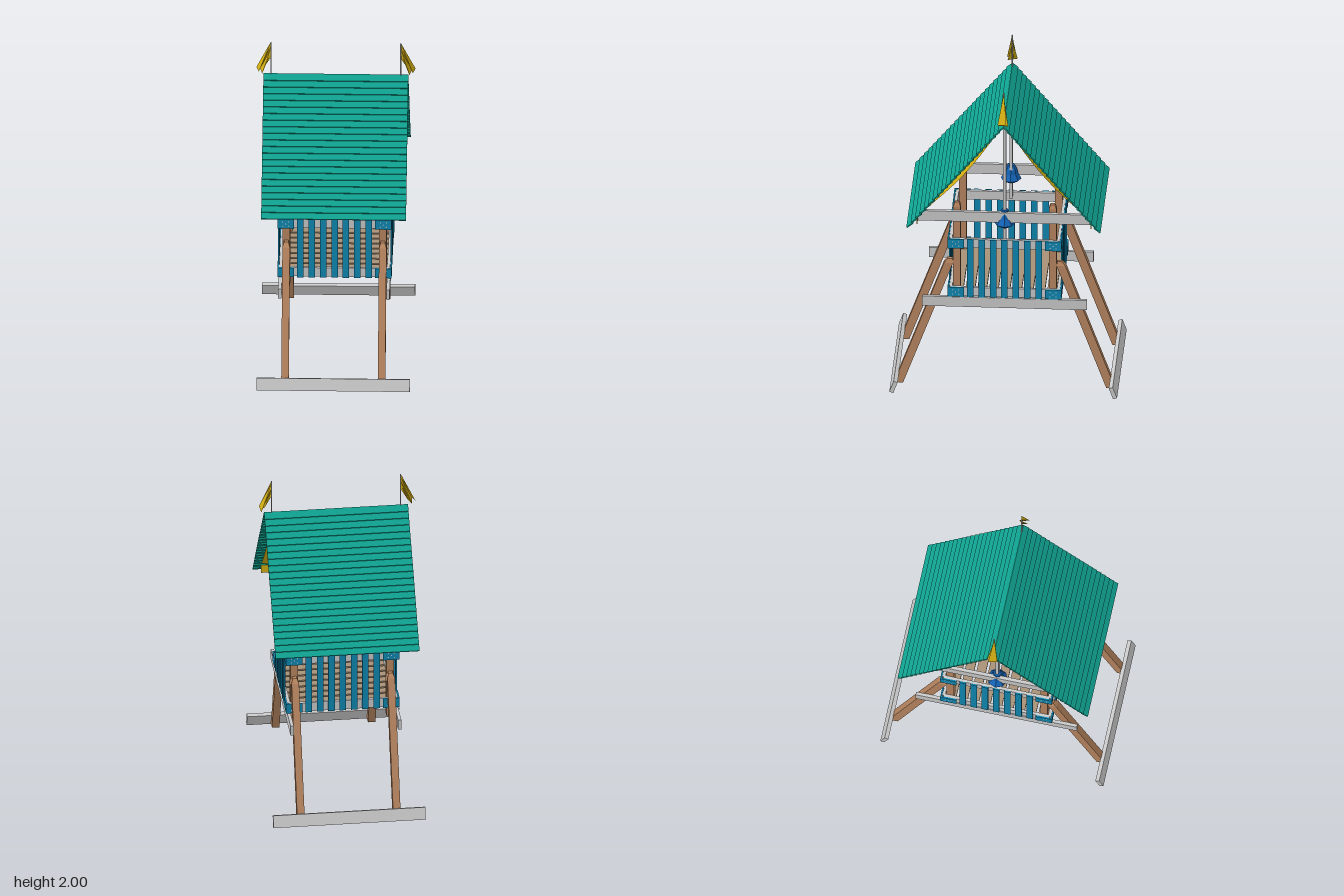
import * as THREE from 'three';
import { mergeGeometries } from 'three/addons/utils/BufferGeometryUtils.js';

const mat = (name, color, side = THREE.FrontSide) => {
  const m = new THREE.MeshStandardMaterial({ color, side });
  m.name = name;
  return m;
};

export function createModel() {
  const root = new THREE.Group();
  root.name = 'playTower';
  const teal = mat('teal', 0x0fa18f, THREE.DoubleSide);
  const grey = mat('light grey', 0xcacaca);
  const wood = mat('brown wood', 0xb88660);
  const floorWood = mat('floor wood', 0xa89278);
  const blue = mat('slat blue', 0x0f88b2);
  const lampBlue = mat('lamp blue', 0x1464b8);
  const gold = mat('gold', 0xd4ae12, THREE.DoubleSide);
  const red = mat('red', 0xc0182c, THREE.DoubleSide);

  const add = (parent, name, geo, material, x = 0, y = 0, z = 0) => {
    const m = new THREE.Mesh(geo, material);
    m.name = name;
    m.position.set(x, y, z);
    parent.add(m);
    return m;
  };
  const box = (parent, name, material, w, h, d, x, y, z) =>
    add(parent, name, new THREE.BoxGeometry(w, h, d), material, x, y, z);

  // square timber standing on its origin, with a chamfered top
  const timber = (w, d, h) => {
    const tip = 0.025;
    const body = new THREE.BoxGeometry(w, h - tip, d).translate(0, (h - tip) / 2, 0);
    const cap = new THREE.CylinderGeometry(0.4, Math.SQRT1_2, tip, 4, 1).toNonIndexed();
    cap.rotateY(Math.PI / 4).scale(w, 1, d).translate(0, h - tip / 2, 0);
    cap.computeVertexNormals();
    return mergeGeometries([body.toNonIndexed(), cap]);
  };

  // corner posts, splayed legs
  for (const sx of [-1, 1]) for (const sz of [-1, 1]) {
    add(root, 'cornerPost', timber(0.045, 0.045, 0.685), wood, sx * 0.29, 0.53, sz * 0.288);
    const leg = timber(0.045, 0.054, 0.835);
    const shear = new THREE.Matrix4().set(1, 0, 0, 0, 0, 1, 0, 0, 0, -sz * 0.37, 1, 0, 0, 0, 0, 1);
    leg.applyMatrix4(shear);
    leg.computeVertexNormals();
    add(root, 'splayedLeg', leg, wood, sx * 0.29, 0, sz * 0.638);
  }

  // ground beams, leaning with the legs
  for (const s of [-1, 1]) {
    const b = box(root, 'groundBeam', grey, 0.92, 0.075, 0.025, 0, 0.04, s * 0.66);
    b.rotation.x = -s * 0.355;
  }

  // platform and roof beams, gable posts and lamps
  for (const s of [-1, 1]) {
    box(root, 'platformBeam', grey, 0.02, 0.065, 0.99, s * 0.325, 0.563, 0);
    box(root, 'roofBeam', grey, 0.022, 0.066, 1.0, s * 0.323, 1.135, 0);
    box(root, 'eaveBeam', grey, 0.668, 0.066, 0.02, 0, 1.135, s * 0.51);
    box(root, 'gablePost', grey, 0.042, 0.82, 0.018, s * 0.29, 1.37, 0);
    const lamp = new THREE.LatheGeometry(
      [[0, 1.06], [0.028, 1.062], [0.062, 1.085], [0.042, 1.12], [0.036, 1.15], [0.022, 1.175], [0, 1.178]]
        .map(([x, y]) => new THREE.Vector2(x, y)), 8).toNonIndexed();
    lamp.computeVertexNormals();
    add(root, 'lamp', lamp, lampBlue, s * 0.302, 0, 0);
  }

  // floor slats
  for (let i = 0; i < 9; i++)
    box(root, 'floorSlat', floorWood, 0.64, 0.018, 0.056, 0, 0.606, (i - 4) * 0.07);

  // one railing panel per side
  for (let k = 0; k < 4; k++) {
    const panel = new THREE.Group();
    panel.name = 'railing';
    panel.rotation.y = k * Math.PI / 2;
    root.add(panel);
    for (const y of [0.632, 0.955]) {
      box(panel, 'rail', grey, 0.65, 0.058, 0.018, 0, y, 0.324);
      for (const s of [-1, 1]) {
        box(panel, 'cornerBracket', blue, 0.1, 0.062, 0.009, s * 0.293, y, 0.3385);
        for (const [dx, dy] of [[0, 0], [-0.018, 0.014], [0.018, 0.014], [-0.018, -0.014], [0.018, -0.014]])
          add(panel, 'screw', new THREE.CircleGeometry(0.004, 6), grey, s * 0.293 + dx, y + dy, 0.3435);
      }
    }
    for (let i = -3; i <= 3; i++)
      box(panel, 'railingSlat', blue, 0.039, 0.385, 0.009, i * 0.0685, 0.793, 0.3375);
  }

  // roof slopes of overlapping boards, with a sagging three-colour cloth below
  const rise = 0.69, run = 0.575, len = Math.hypot(rise, run), rows = 22, pitch = len / rows;
  for (const s of [1, -1]) {
    const side = new THREE.Group();
    side.name = s > 0 ? 'frontRoof' : 'backRoof';
    side.rotation.y = s > 0 ? 0 : Math.PI;
    root.add(side);
    const slope = new THREE.Group();
    slope.name = 'roofSlope';
    slope.position.y = 1.79;
    slope.rotation.x = Math.atan2(rise, run);
    side.add(slope);
    for (let i = 0; i < rows; i++) {
      const board = box(slope, 'roofBoard', teal, 0.87, 0.008, pitch * 1.14, 0, 0.002, (i + 0.5) * pitch);
      board.rotation.x = -0.2;
    }
    [red, teal, gold].forEach((m, i) => {
      const w = 0.26, x = s * (i - 1) * w;
      const cloth = new THREE.PlaneGeometry(w, 1, 1, 14).rotateX(-Math.PI / 2);
      const p = cloth.attributes.position;
      for (let j = 0; j < p.count; j++) {
        const v = p.getZ(j) + 0.5;
        p.setY(j, -0.004 - 0.032 * Math.sin(Math.PI * v));
        p.setZ(j, 0.05 + v * 0.75);
      }
      cloth.computeVertexNormals();
      add(slope, 'roofCloth', cloth, m, x, 0, 0);
      box(side, 'clothHem', m, w, 0.06, 0.005, x, 1.135, 0.523);
    });
  }

  // flags on short poles: a pleated cloth hanging outward from the pole
  for (const s of [-1, 1]) {
    add(root, 'flagPole', new THREE.CylinderGeometry(0.004, 0.004, 0.21, 8), grey, s * 0.39, 1.895, 0);
    const inner = [[0.392, 2.0, 0], [0.393, 1.975, 0.004], [0.393, 1.95, -0.004], [0.393, 1.925, 0.004], [0.393, 1.895, 0]];
    const outer = [[0.478, 1.825, -0.02], [0.462, 1.82, 0.034], [0.455, 1.81, -0.03], [0.442, 1.805, 0.03], [0.432, 1.83, -0.008]];
    const verts = [];
    for (let i = 0; i < 4; i++)
      for (const q of [inner[i], outer[i], outer[i + 1], inner[i], outer[i + 1], inner[i + 1]])
        verts.push(s * q[0], q[1], q[2]);
    const flag = new THREE.BufferGeometry();
    flag.setAttribute('position', new THREE.Float32BufferAttribute(verts, 3));
    flag.computeVertexNormals();
    add(root, 'flag', flag, gold);
  }
  return root;
}
